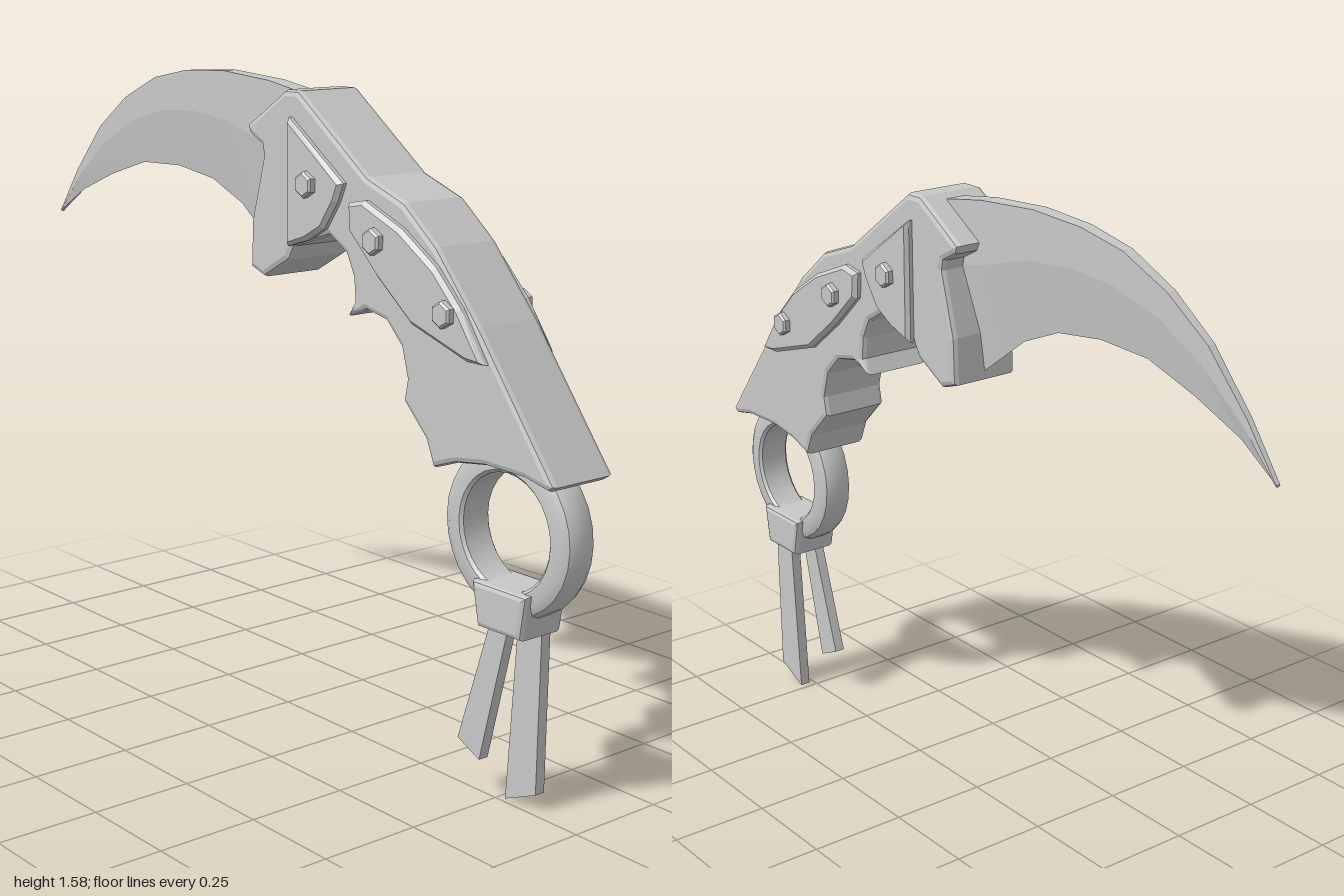
import * as THREE from 'three';
import { toCreasedNormals } from 'three/addons/utils/BufferGeometryUtils.js';

const steel = new THREE.MeshStandardMaterial({ color: 0xc8c8c8 });
steel.name = 'steel grey';

function mesh(name, geometry) {
  const m = new THREE.Mesh(geometry, steel);
  m.name = name;
  return m;
}

// Bevelled slab with the given outline, filling z0..z1
function slab(name, outline, z0, z1, bevel = 0, segments = 1) {
  const shape = new THREE.Shape(outline.map(([x, y]) => new THREE.Vector2(x, y)));
  const geo = new THREE.ExtrudeGeometry(shape, {
    depth: z1 - z0 - 2 * bevel,
    bevelEnabled: bevel > 0,
    bevelSize: bevel,
    bevelOffset: -bevel,
    bevelThickness: bevel,
    bevelSegments: segments,
  });
  geo.translate(0, 0, z0 + bevel);
  return mesh(name, geo);
}

// Curved blade: flat spine, ridge and sharp lower edge, tapering to the tip
function makeBlade() {
  // spine x, y, edge x, y
  const stations = [
    [-1, 1.158, -1, 1.152], [-0.91, 1.277, -0.89, 1.225], [-0.79, 1.405, -0.75, 1.28],
    [-0.665, 1.49, -0.6, 1.325], [-0.525, 1.55, -0.445, 1.33], [-0.39, 1.575, -0.3, 1.31],
    [-0.23, 1.583, -0.18, 1.26], [-0.045, 1.57, -0.03, 1.15], [0.08, 1.55, 0.05, 1.14],
  ];
  const loops = stations.map(([sx, sy, ex, ey]) => {
    const h = 0.006 + 0.019 * (sx + 1);
    const r = h * 1.12;
    const rx = sx + (ex - sx) * 0.37, ry = sy + (ey - sy) * 0.37;
    return [[sx, sy, h], [sx, sy, -h], [rx, ry, -r], [ex, ey, 0], [rx, ry, r]];
  });
  const pos = [];
  for (let i = 0; i < loops.length - 1; i++) {
    for (let j = 0; j < 5; j++) {
      const k = (j + 1) % 5;
      const a = loops[i][j], b = loops[i][k], c = loops[i + 1][k], d = loops[i + 1][j];
      pos.push(...a, ...d, ...b, ...d, ...c, ...b);
    }
  }
  // Tip cap
  const t = loops[0];
  for (let j = 1; j < 4; j++) pos.push(...t[0], ...t[j], ...t[j + 1]);
  const geo = new THREE.BufferGeometry();
  geo.setAttribute('position', new THREE.Float32BufferAttribute(pos, 3));
  geo.computeVertexNormals();
  return mesh('blade', toCreasedNormals(geo, 0.12));
}

// Finger ring with softened outer edges
function makeRing() {
  const profile = [
    [0.133, -0.038], [0.14, -0.045], [0.172, -0.045], [0.188, -0.036], [0.196, -0.018],
    [0.196, 0.018], [0.188, 0.036], [0.172, 0.045], [0.14, 0.045], [0.133, 0.038], [0.133, -0.038],
  ].map(([r, z]) => new THREE.Vector2(r, z));
  const geo = new THREE.LatheGeometry(profile, 28);
  geo.rotateX(Math.PI / 2);
  const ring = mesh('fingerRing', toCreasedNormals(geo, 0.6));
  ring.position.set(0.8, 0.65, 0);
  return ring;
}

export function createModel() {
  const model = new THREE.Group();
  model.name = 'curvedKnife';
  model.add(makeBlade());

  // Grip with finger notches
  model.add(slab('handle', [
    [-0.043, 1.47], [-0.035, 1.45], [0.012, 1.425], [0.017, 1.4], [-0.027, 1.245], [-0.032, 1.13],
    [0.02, 1.112], [0.115, 1.165], [0.135, 1.2], [0.2, 1.22], [0.26, 1.24], [0.32, 1.205],
    [0.345, 1.155], [0.35, 1.1], [0.328, 1.062], [0.39, 1.085], [0.46, 1.07], [0.51, 1.02],
    [0.53, 0.95], [0.52, 0.9], [0.595, 0.825], [0.62, 0.765], [0.69, 0.79], [0.78, 0.803],
    [0.9, 0.8], [0.97, 0.785], [0.988, 0.797], [0.755, 1.1], [0.62, 1.255], [0.515, 1.34],
    [0.39, 1.385], [0.15, 1.56], [0.1, 1.56],
  ], -0.092, 0.092, 0.014, 2));

  // Raised plates and hex bolts on both sides
  const upperPlate = [[0.13, 1.5], [0.127, 1.2], [0.2, 1.222], [0.26, 1.255], [0.305, 1.32], [0.325, 1.365]];
  const lowerPlate = [
    [0.345, 1.325], [0.35, 1.26], [0.445, 1.17], [0.56, 1.08], [0.735, 1.025], [0.79, 1.025],
    [0.715, 1.135], [0.635, 1.215], [0.525, 1.285], [0.4, 1.335],
  ];
  const bolts = [[0.21, 1.353], [0.445, 1.25], [0.675, 1.12]];
  for (const side of [1, -1]) {
    const z0 = side > 0 ? 0.082 : -0.112;
    model.add(slab('upperPlate', upperPlate, z0, z0 + 0.03, 0.01));
    model.add(slab('lowerPlate', lowerPlate, z0, z0 + 0.03, 0.01));
    for (const [x, y] of bolts) {
      const hex = [];
      for (let i = 0; i < 6; i++) {
        const a = (i + 0.5) * Math.PI / 3;
        hex.push([x + 0.031 * Math.cos(a), y + 0.031 * Math.sin(a)]);
      }
      const b0 = side > 0 ? 0.1 : -0.13;
      model.add(slab('bolt', hex, b0, b0 + 0.03, 0.005));
    }
  }

  model.add(makeRing());

  // Clasp and the two hanging straps
  model.add(slab('clasp', [[0.722, 0.528], [0.742, 0.425], [0.875, 0.425], [0.89, 0.528]], -0.065, 0.065, 0.012, 2));
  model.add(slab('frontStrap', [[0.762, 0.44], [0.665, 0.135], [0.735, 0.102], [0.817, 0.44]], 0.013, 0.04));
  model.add(slab('backStrap', [[0.795, 0.44], [0.768, 0.005], [0.862, 0.045], [0.867, 0.44]], -0.04, -0.013));
  return model;
}
